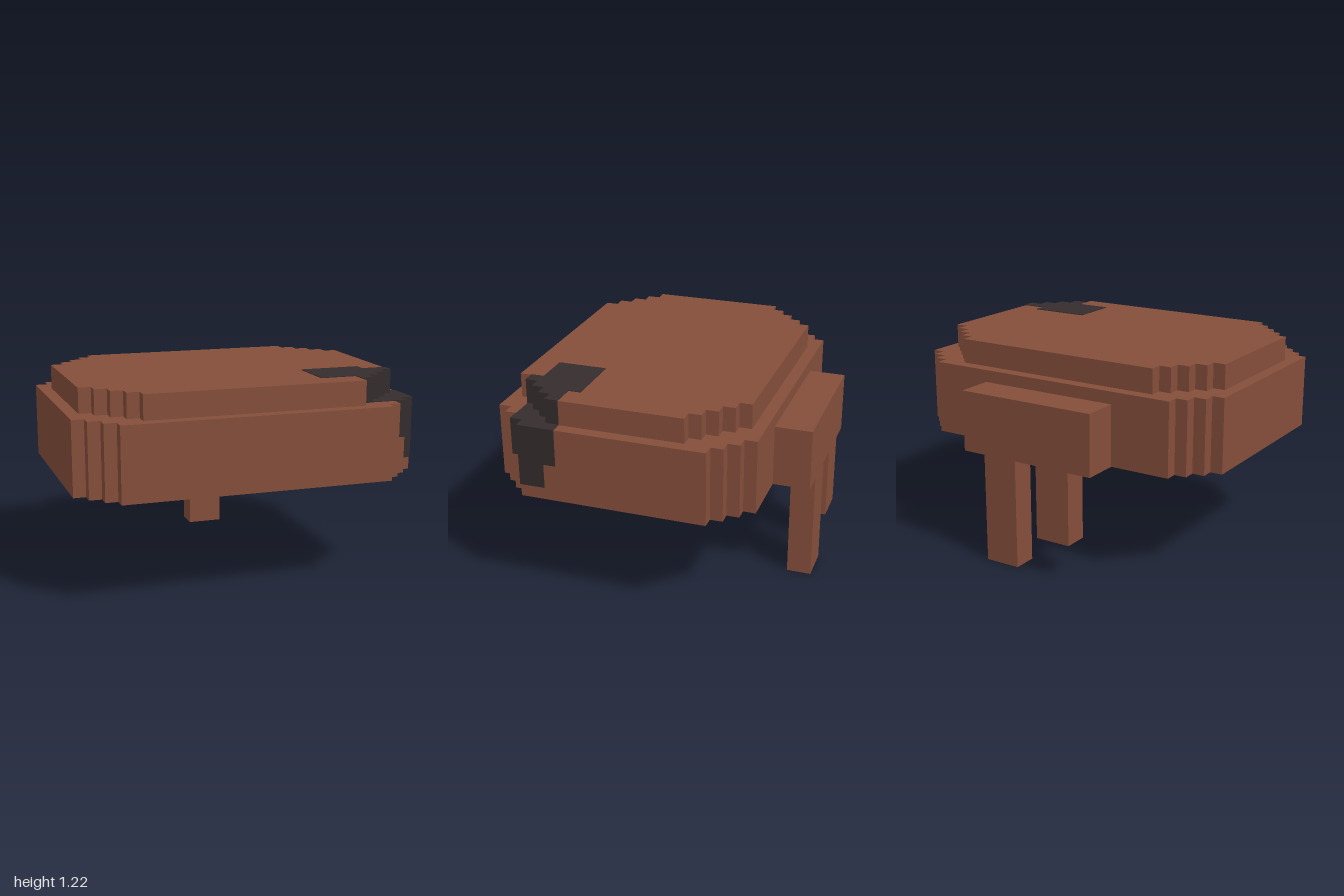
import * as THREE from 'three';

const U = 1 / 14; // one voxel
const E = 0.004; // plate thickness

const brown = new THREE.MeshStandardMaterial({ color: 0x854e3a });
brown.name = 'brown felt';
const black = new THREE.MeshStandardMaterial({ color: 0x352c2d });
black.name = 'black patch';

// Rectangle with n one-voxel stair steps at every corner, as [x, z] points
function outline(hx, zBack, zFront, n) {
  const front = [], back = [];
  for (let i = 0; i <= n; i++) {
    const x = hx - n + i;
    front.push([x, zFront - i]);
    back.push([x, zBack + i]);
    if (i < n) {
      front.push([x, zFront - i - 1]);
      back.push([x, zBack + i + 1]);
    }
  }
  const right = [...front, ...back.reverse()];
  const left = right.map(([x, z]) => [-x, z]).reverse();
  return [...right, ...left];
}

const toVectors = (pts) => pts.map(([x, z]) => new THREE.Vector2(x * U, -z * U));

// Horizontal slab from an outline, with an optional hole
function slab(name, pts, hole, y0, height, material) {
  const shape = new THREE.Shape(toVectors(pts));
  if (hole) shape.holes.push(new THREE.Path(toVectors(hole)));
  const geo = new THREE.ExtrudeGeometry(shape, { depth: height, bevelEnabled: false });
  geo.rotateX(-Math.PI / 2);
  geo.translate(0, y0, 0);
  const mesh = new THREE.Mesh(geo, material);
  mesh.name = name;
  return mesh;
}

// Box between two corners given in voxels, grown outwards by pad on chosen axes
function box(name, [x0, y0, z0], [x1, y1, z1], material) {
  const geo = new THREE.BoxGeometry((x1 - x0) * U, (y1 - y0) * U, (z1 - z0) * U);
  geo.translate((x0 + x1) / 2 * U, (y0 + y1) / 2 * U, (z0 + z1) / 2 * U);
  const mesh = new THREE.Mesh(geo, material);
  mesh.name = name;
  return mesh;
}

export function createModel() {
  const model = new THREE.Group();
  model.name = 'hat';

  // Hollow cap, open underneath, walls one voxel thick
  const band = outline(14, -9, 12, 3), bandInside = outline(13, -8, 11, 3);
  const crown = outline(13, -8, 11, 4), crownInside = outline(12, -7, 10, 4);
  model.add(
    slab('band', band, bandInside, 9 * U, 5 * U, brown),
    slab('ledge', band, crownInside, 14 * U, U, brown),
    slab('crownWall', crown, crownInside, 15 * U, U, brown),
    slab('crownTop', crown, null, 16 * U, U, brown),
  );

  // Block at the back with two hanging tails
  model.add(
    box('backBlock', [-6, 9, -12], [6, 14, -9], brown),
    box('longTail', [1, 0, -12], [4, 9, -10], brown),
    box('shortTail', [-4, 3, -12], [-1, 9, -10], brown),
  );

  // Dark patch running over the front left corner
  const patch = new THREE.Group();
  patch.name = 'patch';
  const e = E / U;
  const facingFront = (x0, x1, y0, y1, z) =>
    patch.add(box('patchFront', [x0, y0, z], [x1, y1, z + e], black));
  const facingSide = (x, y0, y1, z0, z1) =>
    patch.add(box('patchSide', [x, y0, z0], [x + e, y1, z1 + e], black));

  patch.add(
    slab('patchTop', [[6, 5], [11, 5], [11, 6], [13, 6], [13, 7], [12, 7], [12, 8],
      [11, 8], [11, 9], [10, 9], [10, 10], [9, 10], [9, 9], [6, 9]], null, 17 * U, E, black),
    slab('patchLedge', [[13, 6], [14, 6], [14, 9], [13, 9], [13, 10], [10, 10], [10, 9],
      [11, 9], [11, 8], [12, 8], [12, 7], [13, 7]], null, 15 * U, E, black),
  );
  for (let i = 0; i < 4; i++) { // crown steps
    facingFront(9 + i, 10 + i, 15, 17 + e, 10 - i);
    facingSide(10 + i, 15, 17 + e, 9 - i, 10 - i);
  }
  // band steps
  facingFront(12, 13, 12, 15 + e, 10);
  facingSide(13, 12, 15 + e, 9, 10);
  facingFront(13, 14, 10, 15 + e, 9);
  facingSide(14, 12, 15 + e, 6, 9);
  facingSide(14, 10, 12, 7, 9);
  model.add(patch);

  return model;
}
